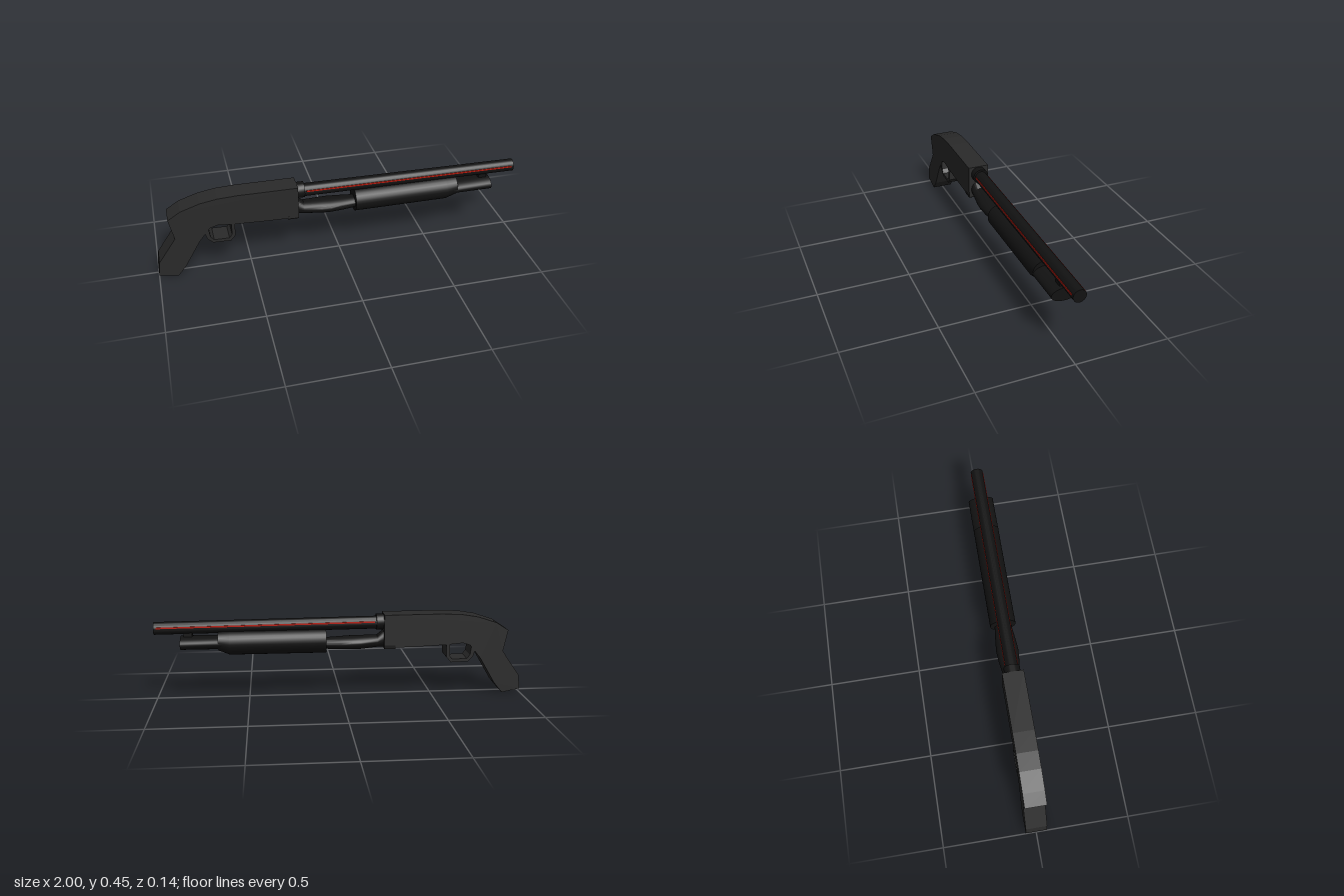
import * as THREE from 'three';
import { toCreasedNormals } from 'three/addons/utils/BufferGeometryUtils.js';

const frame = new THREE.MeshStandardMaterial({ color: 0x2a2a2a });
const dark = new THREE.MeshStandardMaterial({ color: 0x121212 });
const red = new THREE.MeshStandardMaterial({ color: 0xbb1a0c });
const WIDTH = 0.114;

// Closed elliptical loft along x; each section is [x, centreY, radiusY, radiusZ]
function loft(sections, sides = 28) {
  const first = sections[0], last = sections[sections.length - 1];
  const rings = [[first[0], first[1], 0, 0], ...sections, [last[0], last[1], 0, 0]];
  const positions = [], index = [];
  for (const [x, cy, ry, rz] of rings) {
    for (let j = 0; j < sides; j++) {
      const a = (j / sides) * Math.PI * 2;
      positions.push(x, cy + ry * Math.cos(a), rz * Math.sin(a));
    }
  }
  for (let i = 0; i < rings.length - 1; i++) {
    for (let j = 0; j < sides; j++) {
      const a = i * sides + j, b = i * sides + (j + 1) % sides;
      const c = a + sides, d = b + sides;
      if (i > 0) index.push(a, b, c);
      if (i === 0) index.push(b, d, c);
      else if (i < rings.length - 2) index.push(b, d, c);
    }
  }
  const geo = new THREE.BufferGeometry();
  geo.setAttribute('position', new THREE.Float32BufferAttribute(positions, 3));
  geo.setIndex(index);
  return toCreasedNormals(geo, 0.6);
}

// Side profile extruded across the full width
function slab(points, width = WIDTH) {
  const shape = new THREE.Shape(points.map(([x, y]) => new THREE.Vector2(x, y)));
  const geo = new THREE.ExtrudeGeometry(shape, { depth: width, bevelEnabled: false });
  return geo.translate(0, 0, -width / 2);
}

export function createModel() {
  const model = new THREE.Group();
  const add = (name, geo, material) => {
    const mesh = new THREE.Mesh(geo, material);
    mesh.name = name;
    model.add(mesh);
    return mesh;
  };

  // Receiver and pistol grip in one profile
  add('receiverAndGrip', slab([
    [-1, 0.02], [-0.9, 0], [-0.855, 0.055], [-0.77, 0.2], [-0.71, 0.275], [-0.67, 0.288],
    [-0.58, 0.28], [-0.42, 0.273], [-0.235, 0.268], [-0.235, 0.45], [-0.555, 0.452],
    [-0.66, 0.447], [-0.75, 0.432], [-0.853, 0.398], [-0.92, 0.355], [-0.895, 0.237], [-0.99, 0.1],
  ]), frame);
  add('receiverLip', new THREE.BoxGeometry(0.06, 0.02, WIDTH).translate(-0.265, 0.273, 0), dark);

  // Trigger guard: a wide bent strip
  add('triggerGuard', slab([
    [-0.74, 0.25], [-0.728, 0.21], [-0.7, 0.183], [-0.605, 0.18], [-0.58, 0.21], [-0.578, 0.29],
    [-0.596, 0.29], [-0.598, 0.216], [-0.613, 0.198], [-0.694, 0.2], [-0.711, 0.22], [-0.718, 0.27],
  ]), frame);

  // Barrel, falling slightly toward the muzzle
  add('barrelCollar', loft([[-0.26, 0.405, 0.043, 0.043], [-0.195, 0.405, 0.043, 0.043]]), dark);
  add('barrel', loft([[-0.22, 0.402, 0.035, 0.035], [1, 0.39, 0.034, 0.034]]), dark);
  for (const side of [1, -1]) {
    const stripe = add(side > 0 ? 'frontStripe' : 'backStripe',
      new THREE.BoxGeometry(1.17, 0.008, 0.003), red);
    stripe.position.set(0.4, 0.403, side * 0.034);
    stripe.rotation.z = -0.011;
  }

  // Magazine tube: swelling neck behind the pump, flattened tube ahead
  add('magazineNeck', loft([
    [-0.25, 0.312, 0.048, 0.043], [-0.235, 0.312, 0.048, 0.043], [-0.2, 0.298, 0.033, 0.045],
    [-0.11, 0.293, 0.037, 0.057], [-0.06, 0.292, 0.037, 0.06], [0, 0.291, 0.035, 0.055], [0.1, 0.291, 0.03, 0.043],
  ]), dark);
  add('pump', loft([
    [0.08, 0.307, 0.068, 0.07], [0.6, 0.307, 0.068, 0.07], [0.66, 0.319, 0.055, 0.07],
  ]), dark);
  add('magazineTube', loft([[0.64, 0.309, 0.036, 0.07], [0.86, 0.309, 0.036, 0.07]]), dark);
  add('barrelSupport', new THREE.BoxGeometry(0.045, 0.05, 0.04).translate(0.82, 0.355, 0), dark);

  return model;
}
